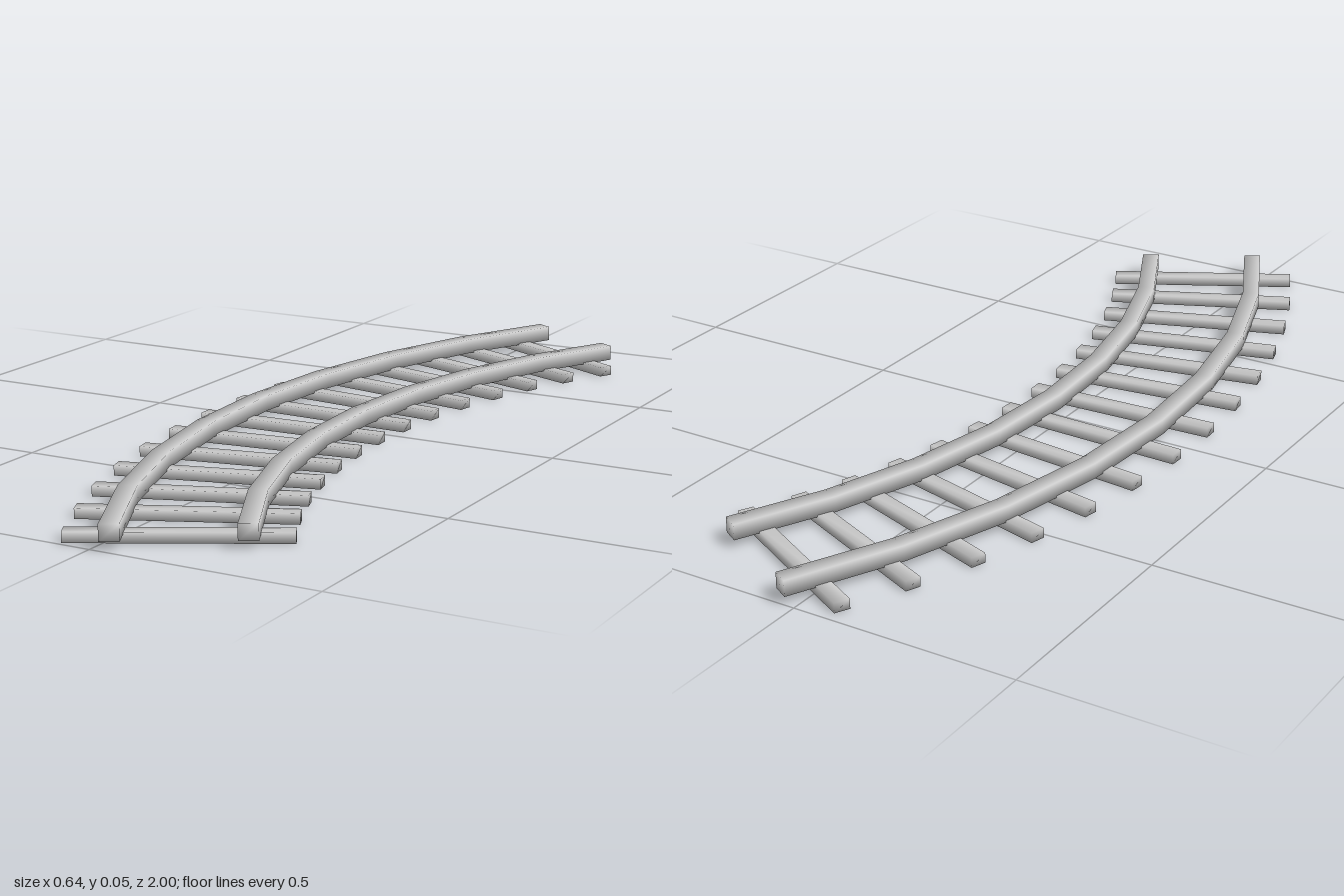
import * as THREE from 'three';
import { mergeVertices } from 'three/addons/utils/BufferGeometryUtils.js';

const CENTRE_X = 1.753;                 // centre of the curve, on z = 0
const ARC = THREE.MathUtils.degToRad(60);
const TIES = 14;

// Box whose corners share normals, for soft edges
function soften(box) {
  box.deleteAttribute('normal');
  box.deleteAttribute('uv');
  const geometry = mergeVertices(box);
  geometry.computeVertexNormals();
  return geometry;
}

// Long box bent around the curve's centre
function railGeometry(radius) {
  const box = new THREE.BoxGeometry(0.04, 0.035, 1, 1, 1, 8);
  const p = box.attributes.position;
  for (let i = 0; i < p.count; i++) {
    const a = p.getZ(i) * ARC;
    const r = radius - p.getX(i);
    p.setXYZ(i, CENTRE_X - r * Math.cos(a), p.getY(i) + 0.0355, r * Math.sin(a));
  }
  return soften(box);
}

export function createModel() {
  const group = new THREE.Group();
  group.name = 'curvedTrack';
  const material = new THREE.MeshStandardMaterial({ color: 0xcccccc });

  // Two rails
  for (const [name, radius] of [['outerRail', 1.98], ['innerRail', 1.72]]) {
    const rail = new THREE.Mesh(railGeometry(radius), material);
    rail.name = name;
    group.add(rail);
  }

  // Cross ties, each pointing at the curve's centre
  const tieGeometry = soften(new THREE.BoxGeometry(0.444, 0.022, 0.034));
  const tieRadius = 1.853;
  for (let i = 0; i < TIES; i++) {
    const a = ((i + 0.5) / TIES - 0.5) * ARC + 0.0044;
    const tie = new THREE.Mesh(tieGeometry, material);
    tie.name = `tie${i + 1}`;
    tie.position.set(CENTRE_X - tieRadius * Math.cos(a), 0.011, tieRadius * Math.sin(a));
    tie.rotation.y = a;
    group.add(tie);
  }
  return group;
}
